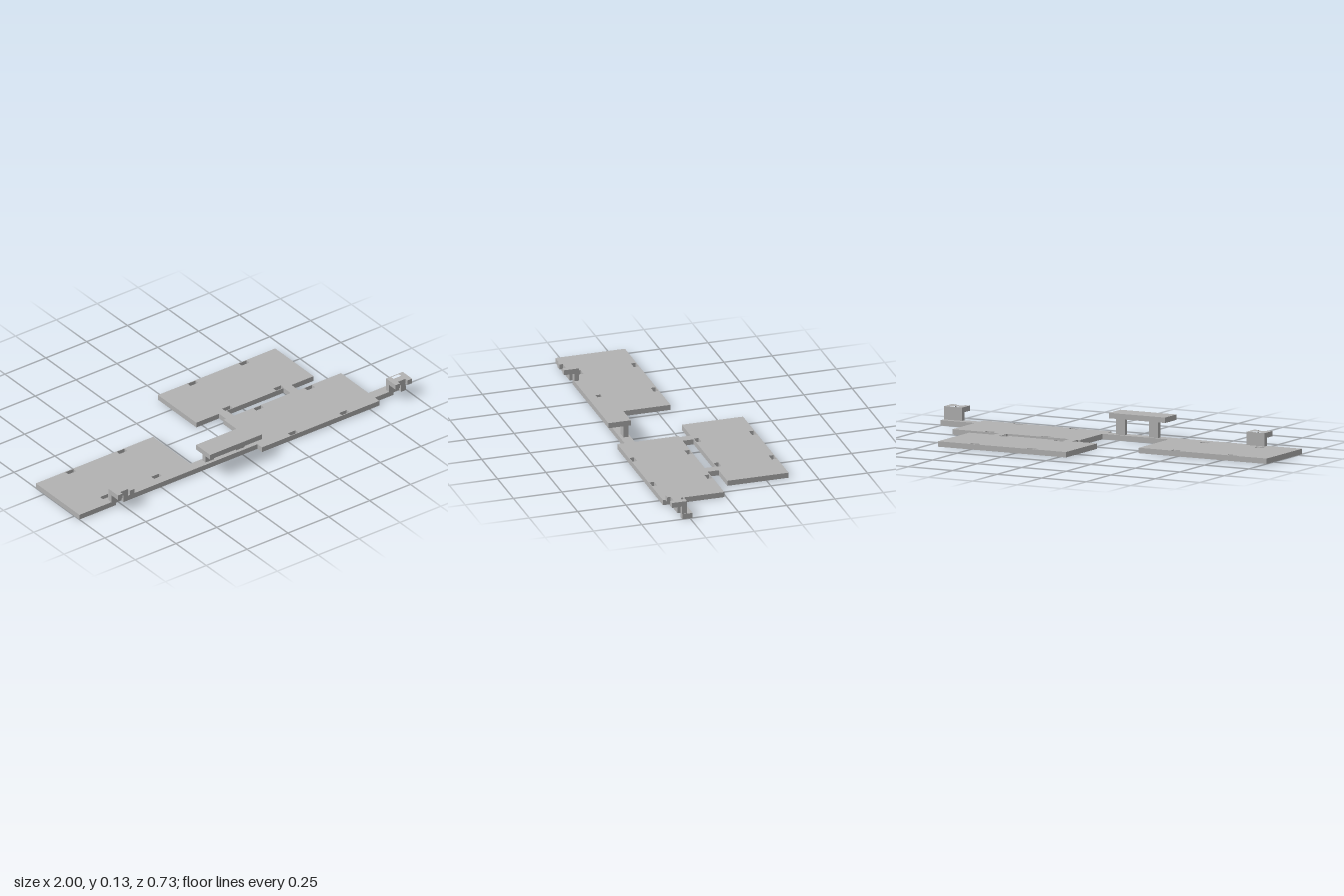
import * as THREE from 'three';

const T = 0.027; // sheet thickness

// Flat sheet from [x, z] outlines, standing from y0 up to y0 + height
function sheet(outline, holes, y0, height) {
  const pts = (list) => list.map(([x, z]) => new THREE.Vector2(x, -z));
  const shape = new THREE.Shape(pts(outline));
  holes.forEach((h) => shape.holes.push(new THREE.Path(pts(h))));
  const geo = new THREE.ExtrudeGeometry(shape, { depth: height, bevelEnabled: false });
  geo.rotateX(-Math.PI / 2);
  geo.translate(0, y0, 0);
  return geo;
}

const rect = (x0, x1, z0, z1) => [[x0, z0], [x1, z0], [x1, z1], [x0, z1]];

// Four slots near the long edges of a panel
function panelSlots(x, z0, z1) {
  const slots = [];
  for (const dx of [0.179, 0.492]) {
    slots.push(rect(x + dx, x + dx + 0.047, z0 + 0.004, z0 + 0.028));
    slots.push(rect(x + dx, x + dx + 0.047, z1 - 0.028, z1 - 0.004));
  }
  return slots;
}

export function createModel() {
  const model = new THREE.Group();
  const grey = new THREE.MeshStandardMaterial({ color: 0xb2b2b2 });
  grey.name = 'grey';
  const add = (parent, name, geo) => {
    const mesh = new THREE.Mesh(geo, grey);
    mesh.name = name;
    parent.add(mesh);
  };

  const clipCentres = [-0.753, 0.946];
  const notch = (cx) => [[cx - 0.023, 0.29], [cx - 0.023, 0.272], [cx + 0.023, 0.272], [cx + 0.023, 0.29]];

  // Three panels joined by a rail and two tabs
  const outline = [
    [-1, 0.29], ...notch(clipCentres[0]), [0.09, 0.29], [0.09, 0.327], [0.808, 0.327], [0.808, 0.29],
    ...notch(clipCentres[1]), [1, 0.29], [1, 0.237], [0.808, 0.237], [0.808, 0.01],
    [0.548, 0.01], [0.548, -0.047], [0.683, -0.047], [0.683, -0.364], [-0.035, -0.364], [-0.035, -0.047],
    [0.104, -0.047], [0.104, 0.01], [0.09, 0.01], [0.09, 0.237], [-0.282, 0.237], [-0.282, -0.07], [-1, -0.07],
  ];
  const holes = [
    rect(0.152, 0.5, -0.047, 0.01), // gap between the tabs
    ...panelSlots(-1, -0.07, 0.247),
    ...panelSlots(0.09, 0.01, 0.327),
    ...panelSlots(-0.035, -0.364, -0.047),
  ];
  add(model, 'basePanels', sheet(outline, holes, 0, T));

  // Raised shelf on two legs
  const shelf = new THREE.Group();
  shelf.name = 'raisedShelf';
  add(shelf, 'shelfTop', sheet(rect(-0.255, 0.061, 0.248, 0.364), [], 0.105, T));
  for (const x of [-0.215, -0.028]) {
    add(shelf, 'shelfLeg', sheet(rect(x, x + 0.05, 0.248, 0.273), [], T, 0.105 - T));
  }
  model.add(shelf);

  // Clips: channel-shaped post with a forked, slotted top
  for (const cx of clipCentres) {
    const clip = new THREE.Group();
    clip.name = 'clip';
    const a = cx - 0.051, b = cx + 0.051, c = cx - 0.023, d = cx + 0.023;
    const post = [[a, 0.265], [b, 0.265], [b, 0.29], [d, 0.29], [d, 0.272], [c, 0.272], [c, 0.29], [a, 0.29]];
    const top = [[a, 0.265], [b, 0.265], [b, 0.343], [d, 0.343], [d, 0.325], [c, 0.325], [c, 0.343], [a, 0.343]];
    add(clip, 'clipPost', sheet(post, [], T, 0.067 - T));
    add(clip, 'clipTop', sheet(top, [rect(c, d, 0.272, 0.29)], 0.067, 0.026));
    model.add(clip);
  }
  return model;
}
